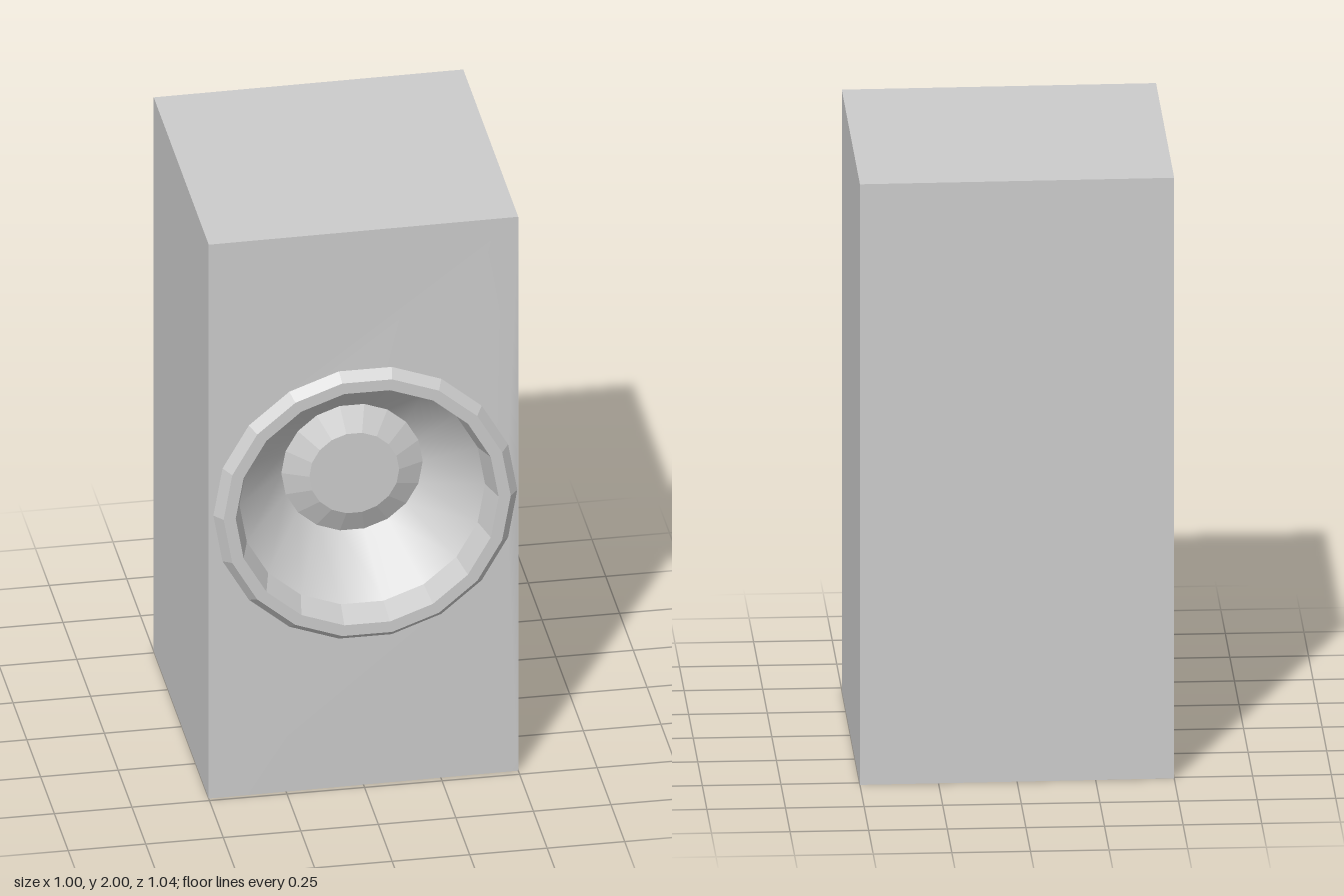
import * as THREE from 'three';

const SIDES = 18;
const CENTRE = { x: 0.005, y: 1.02 };
const RIM = 0.49;      // outer radius where the surround meets the baffle
const BAFFLE_Z = 0.486;

const flat = new THREE.MeshStandardMaterial({ color: 0xcccccc, flatShading: true });
const smooth = new THREE.MeshStandardMaterial({ color: 0xcccccc });

// Slight skew of the cabinet's front and back planes
const skew = (x) => -0.011 * x;

function addMesh(group, name, geometry, material) {
  const mesh = new THREE.Mesh(geometry, material);
  mesh.name = name;
  group.add(mesh);
  return mesh;
}

// Turned part facing +z; profile pairs are [radius, z]
function turned(profile) {
  const points = profile.map(([r, z]) => new THREE.Vector2(r, z));
  return new THREE.LatheGeometry(points, SIDES, Math.PI / SIDES).rotateX(Math.PI / 2);
}

// Box without its front face
function cabinetGeometry() {
  const geo = new THREE.BoxGeometry(1, 2, 1).translate(0, 1, 0);
  const pos = geo.attributes.position;
  for (let i = 0; i < pos.count; i++) {
    const base = pos.getZ(i) > 0 ? 0.481 : -0.516;
    pos.setZ(i, base + skew(pos.getX(i)));
  }
  const front = geo.groups[4];
  const index = Array.from(geo.index.array);
  index.splice(front.start, front.count);
  geo.setIndex(index);
  geo.clearGroups();
  return geo;
}

// Front panel with a round opening that stays in one plane
function baffleGeometry() {
  const shape = new THREE.Shape([[-0.5, 0], [0.5, 0], [0.5, 2], [-0.5, 2]]
    .map(([x, y]) => new THREE.Vector2(x, y)));
  const hole = [];
  for (let i = 0; i < SIDES; i++) {
    const a = (-i / SIDES) * Math.PI * 2;
    hole.push(new THREE.Vector2(CENTRE.x + RIM * Math.cos(a), CENTRE.y + RIM * Math.sin(a)));
  }
  shape.holes.push(new THREE.Path(hole));
  const geo = new THREE.ShapeGeometry(shape);
  const pos = geo.attributes.position;
  for (let i = 0; i < pos.count; i++) {
    const x = pos.getX(i);
    pos.setZ(i, Math.abs(x) > 0.499 ? 0.481 + skew(x) : BAFFLE_Z);
  }
  geo.computeVertexNormals();
  return geo;
}

export function createModel() {
  const model = new THREE.Group();
  model.name = 'loudspeaker';

  addMesh(model, 'cabinet', cabinetGeometry(), flat);
  addMesh(model, 'baffle', baffleGeometry(), smooth);

  // Driver: raised surround, recessed cone and central dust cap
  const driver = new THREE.Group();
  driver.name = 'driver';
  driver.position.set(CENTRE.x, CENTRE.y, 0);
  model.add(driver);

  addMesh(driver, 'surround',
    turned([[RIM, BAFFLE_Z], [0.463, 0.52], [0.424, 0.52], [0.396, 0.43]]), flat);
  addMesh(driver, 'cone', turned([[0.396, 0.43], [0.228, 0.245]]), smooth);
  addMesh(driver, 'dustCap', turned([[0.228, 0.245], [0.145, 0.285], [0, 0.285]]), flat);

  return model;
}
